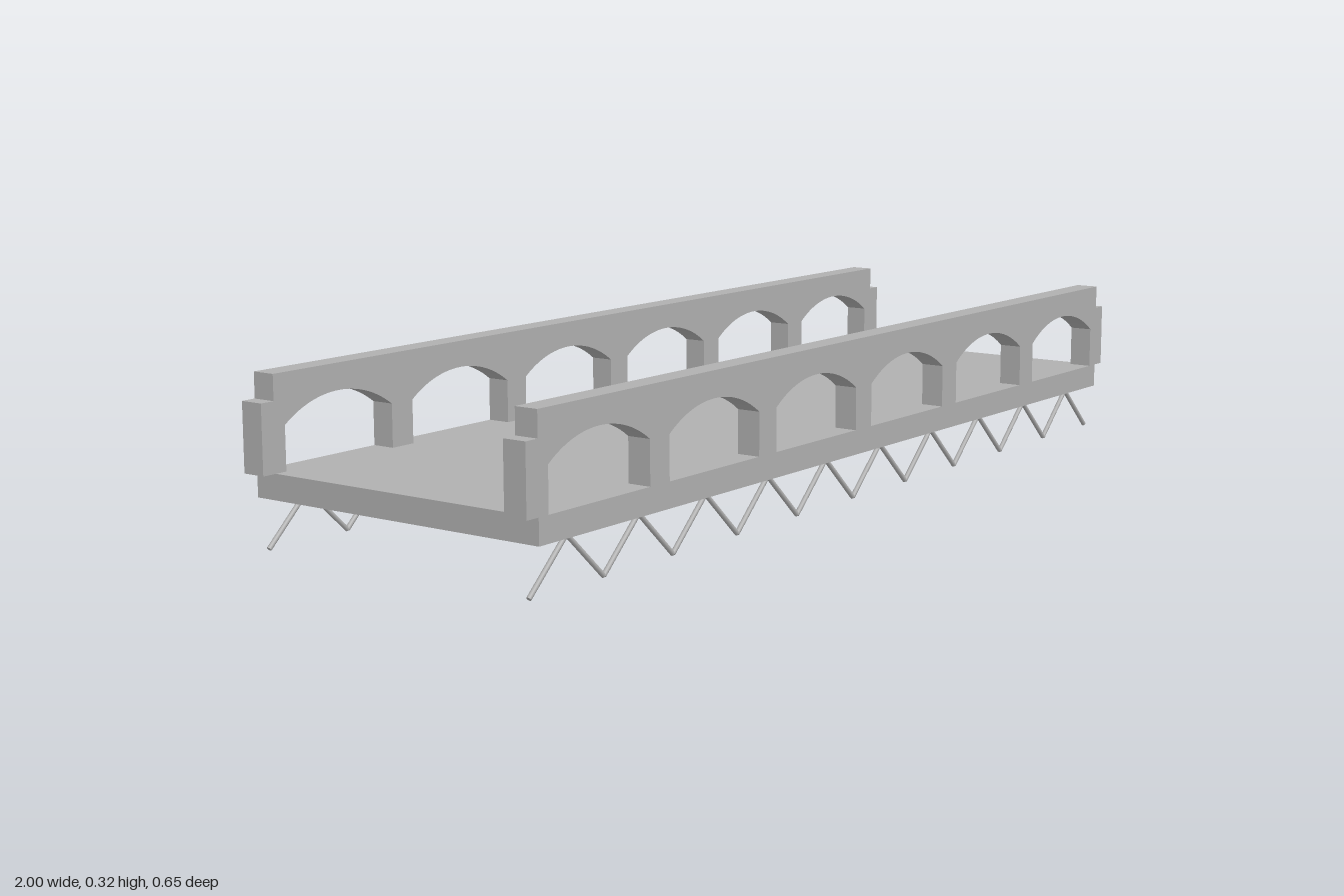
import * as THREE from 'three';

const DECK_BOTTOM = 0.094, DECK_TOP = 0.142, RAIL_BOTTOM = 0.271, RAIL_TOP = 0.319;
const HALF_DEPTH = 0.323, RAIL_WIDTH = 0.047;
const BAYS = 6, POST = 0.055, PITCH = (2 - POST) / BAYS;

// Row of posts joined by shallow arches, drawn as one outline
function arcadeGeometry() {
  const half = (PITCH - POST) / 2, spring = 0.225, rise = 0.044;
  const radius = (half * half + rise * rise) / (2 * rise);
  const angle = Math.asin(half / radius);
  const shape = new THREE.Shape();
  shape.moveTo(-1, RAIL_BOTTOM);
  shape.lineTo(-1, DECK_TOP);
  for (let i = 0; i < BAYS; i++) {
    const cx = -1 + POST / 2 + PITCH * (i + 0.5);
    shape.lineTo(cx - half, DECK_TOP);
    shape.lineTo(cx - half, spring);
    shape.absarc(cx, spring + rise - radius, radius, Math.PI / 2 + angle, Math.PI / 2 - angle, true);
    shape.lineTo(cx + half, DECK_TOP);
  }
  shape.lineTo(1, DECK_TOP);
  shape.lineTo(1, RAIL_BOTTOM);
  shape.closePath();
  return new THREE.ExtrudeGeometry(shape, { depth: RAIL_WIDTH, bevelEnabled: false, curveSegments: 16 })
    .translate(0, 0, -RAIL_WIDTH / 2);
}

export function createModel() {
  const model = new THREE.Group();
  model.name = 'bridge';
  const stone = new THREE.MeshStandardMaterial({ color: 0xb0b0b0 });
  stone.name = 'grey stone';

  function add(parent, name, geometry, x, y, z) {
    const mesh = new THREE.Mesh(geometry, stone);
    mesh.name = name;
    mesh.position.set(x, y, z);
    parent.add(mesh);
    return mesh;
  }

  // Road slab
  add(model, 'deck', new THREE.BoxGeometry(1.94, DECK_TOP - DECK_BOTTOM, HALF_DEPTH * 2),
    0, (DECK_TOP + DECK_BOTTOM) / 2, 0);

  const arcade = arcadeGeometry();
  const rail = new THREE.BoxGeometry(1.94, RAIL_TOP - RAIL_BOTTOM, RAIL_WIDTH);

  // Zigzag truss bars
  const bars = 20, dx = 1.94 / bars, low = 0.0035, high = 0.0935;
  const bar = new THREE.CylinderGeometry(0.0047, 0.0047, Math.hypot(dx, high - low), 8);
  const lean = Math.atan2(dx, high - low);

  for (const side of [1, -1]) {
    const label = side > 0 ? 'front' : 'back';
    const z = side * (HALF_DEPTH - RAIL_WIDTH / 2);
    add(model, label + 'Arcade', arcade, 0, 0, z);
    add(model, label + 'Handrail', rail, 0, (RAIL_TOP + RAIL_BOTTOM) / 2, z);

    const truss = new THREE.Group();
    truss.name = label + 'Truss';
    for (let i = 0; i < bars; i++) {
      const mesh = add(truss, 'trussBar', bar, -0.97 + dx * (i + 0.5), (low + high) / 2, z);
      mesh.rotation.z = i % 2 ? lean : -lean;
    }
    model.add(truss);
  }
  return model;
}
